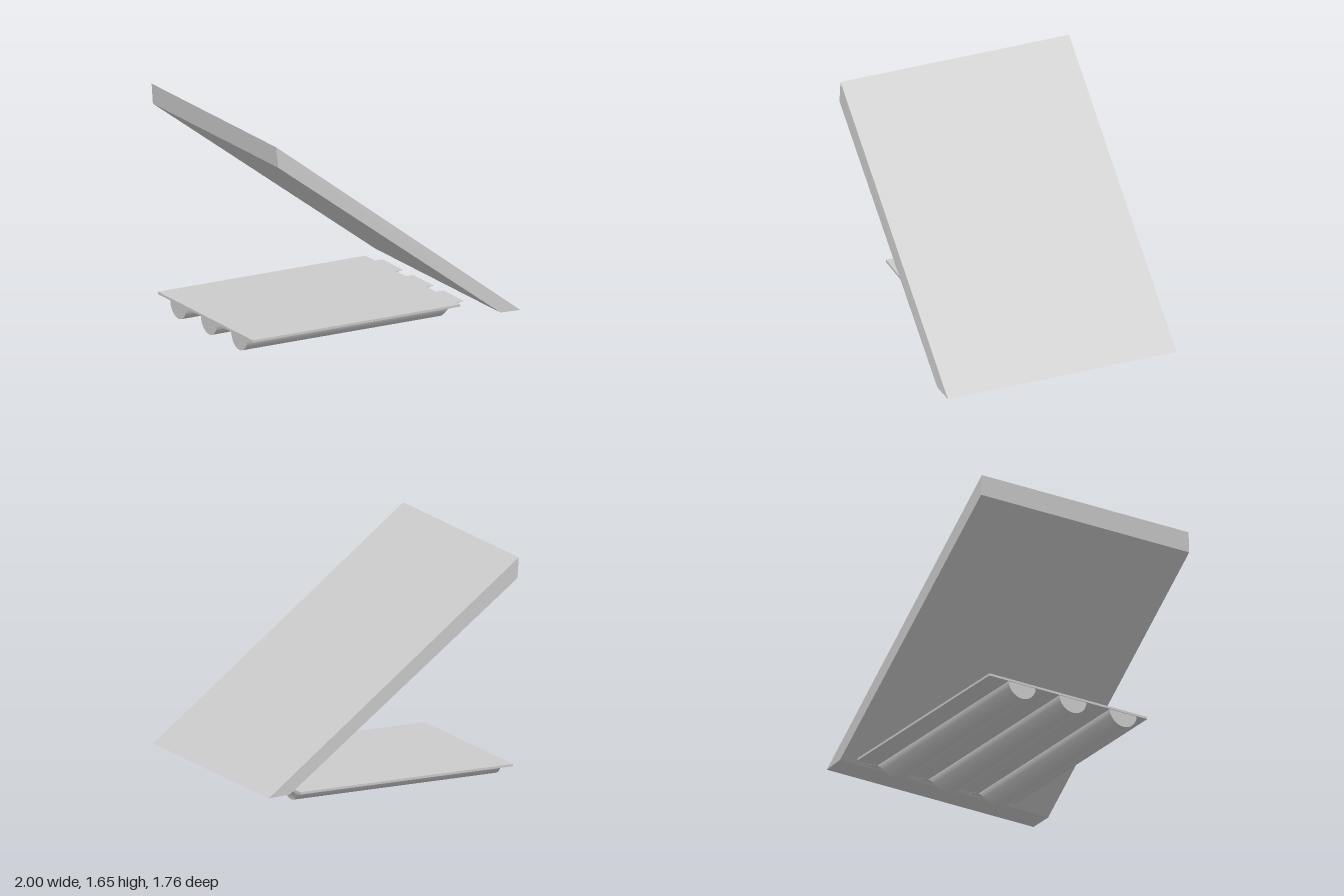
import * as THREE from 'three';

const material = new THREE.MeshStandardMaterial({ color: 0xcccccc, side: THREE.DoubleSide });

function add(parent, name, geometry) {
  const mesh = new THREE.Mesh(geometry, material);
  mesh.name = name;
  parent.add(mesh);
  return mesh;
}

// Prism with an outline in x/y, running from z0 to z1
function prism(points, z0, z1) {
  const shape = new THREE.Shape(points.map(([x, y]) => new THREE.Vector2(x, y)));
  return new THREE.ExtrudeGeometry(shape, { depth: z1 - z0, bevelEnabled: false }).translate(0, 0, z0);
}

// Surface from a rule that maps (u, v) in 0..1 to a point
function surface(rule, nu, nv) {
  const geometry = new THREE.PlaneGeometry(1, 1, nu, nv);
  const p = geometry.attributes.position;
  for (let i = 0; i < p.count; i++) p.setXYZ(i, ...rule(p.getX(i) + 0.5, p.getY(i) + 0.5));
  geometry.computeVertexNormals();
  return geometry;
}

const R = 0.115;                 // runner radius, also the height of its axis
const TOP = 0.125, UNDER = 0.108; // plate faces
const BACK = -0.985;             // flat end of the runners
// Concave scoop that cuts the runner ends and thins the tabs
const scoopX = (y) => 0.77 - Math.sqrt(Math.max(0, 0.135 ** 2 - (y + 0.01) ** 2));
const scoopY = (x) => -0.01 + Math.sqrt(Math.max(0, 0.135 ** 2 - (x - 0.77) ** 2));

function createRunner(z) {
  const runner = new THREE.Group();
  runner.name = 'runner';
  // Half-round underside
  add(runner, 'runnerShell', surface((u, v) => {
    const a = (v - 0.5) * Math.PI, y = R - R * Math.cos(a);
    return [THREE.MathUtils.lerp(BACK, scoopX(y), u), y, R * Math.sin(a)];
  }, 1, 40));
  // Scooped end
  add(runner, 'runnerScoop', surface((u, v) => {
    const a = u * Math.PI / 2, y = R - R * Math.cos(a);
    return [scoopX(y), y, (2 * v - 1) * R * Math.sin(a)];
  }, 20, 2));
  // Flat end
  add(runner, 'runnerEnd', surface((u, v) => {
    const a = v * Math.PI / 2;
    return [BACK, R - R * Math.cos(a), (2 * u - 1) * R * Math.sin(a)];
  }, 2, 20));
  // Thin tab reaching past the plate edge, tapering underneath
  const under = [0.77, 0.755, 0.74, 0.725, 0.705].map((x) => [x, scoopY(x) - 0.001]);
  add(runner, 'tab', prism([[0.705, TOP], ...under.reverse(), [0.77, TOP]], -0.145, 0.145));
  runner.position.z = z;
  return runner;
}

export function createModel() {
  const model = new THREE.Group();
  model.name = 'slopedPanelOnRunners';

  // Sloped panel, its front side leaning slightly in towards the upper face
  const panel = prism([[-1, 1.65], [-0.99, 1.5], [0.83, 0.14], [1, 0.13]], -0.88, 0.88);
  const p = panel.attributes.position;
  for (let i = 0; i < p.count; i++) {
    const onUpperFace = p.getY(i) > 0.85 - 0.76 * p.getX(i);
    if (p.getZ(i) > 0 && onUpperFace) p.setZ(i, 0.868);
  }
  panel.computeVertexNormals();
  add(model, 'slopedPanel', panel);

  // Flat base plate with three runners beneath
  add(model, 'basePlate', prism([[-0.99, UNDER], [0.71, UNDER], [0.71, TOP], [-0.99, TOP]], -0.81, 0.525));
  for (const z of [0.325, -0.1, -0.53]) model.add(createRunner(z));

  return model;
}
